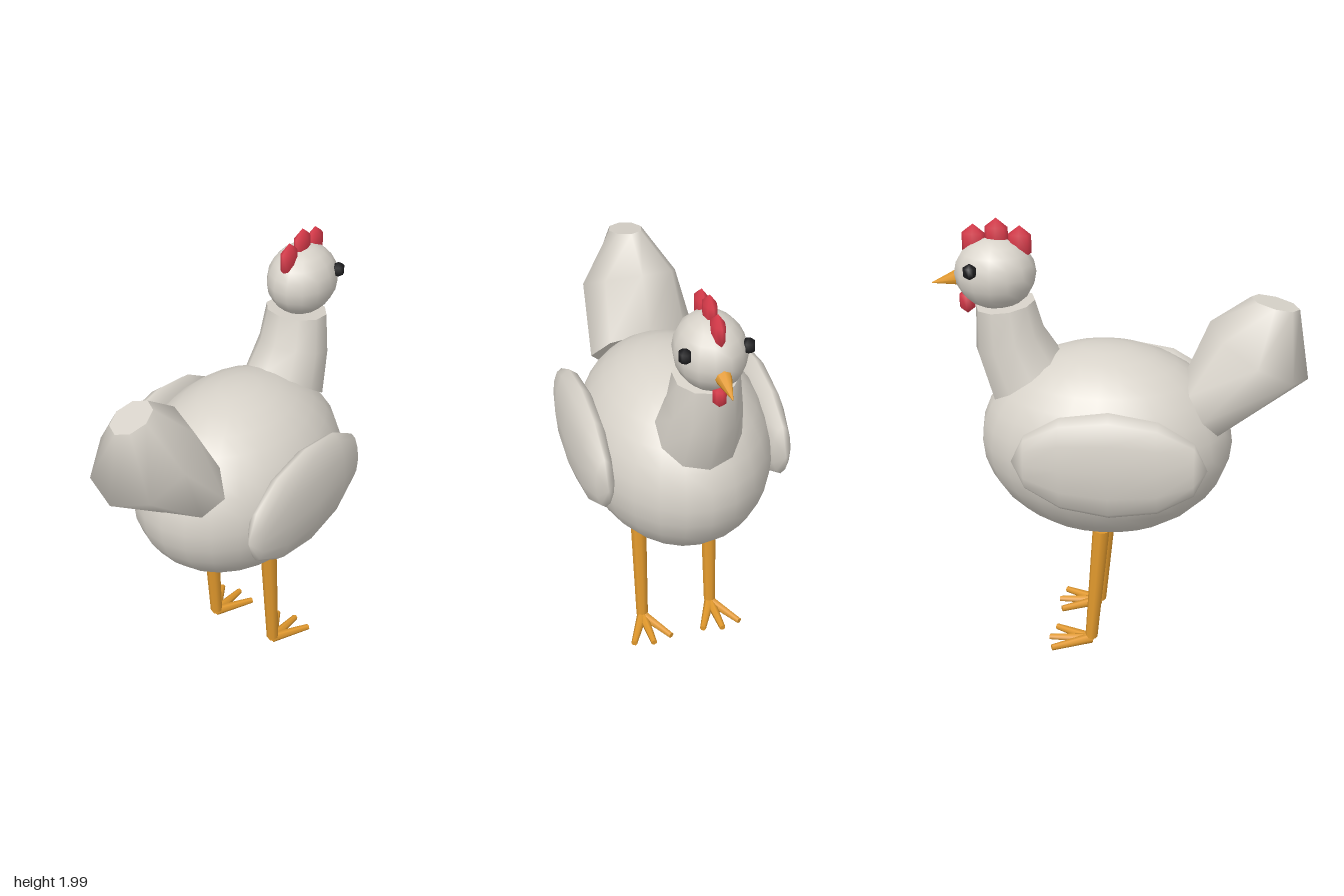
import * as THREE from 'three';

const mat = (name, color) => {
  const m = new THREE.MeshStandardMaterial({ color });
  m.name = name;
  return m;
};

// Smooth capped loft; each ring is [frontY, frontZ, backY, backZ, halfWidth]
function loft(rings, n) {
  const pos = [], idx = [];
  const addRing = ([fy, fz, by, bz, w]) => {
    const start = pos.length / 3;
    for (let i = 0; i < n; i++) {
      const a = (i / n) * Math.PI * 2, c = Math.cos(a) / 2;
      pos.push(-w * Math.sin(a), (fy + by) / 2 + c * (fy - by), (fz + bz) / 2 + c * (fz - bz));
    }
    return start;
  };
  const starts = rings.map(addRing);
  for (let k = 0; k + 1 < rings.length; k++) {
    for (let i = 0; i < n; i++) {
      const j = (i + 1) % n, a = starts[k], b = starts[k + 1];
      idx.push(a + i, a + j, b + j, a + i, b + j, b + i);
    }
  }
  // End caps have their own corners so that their edges stay sharp
  const low = addRing(rings[0]), high = addRing(rings[rings.length - 1]);
  for (let i = 1; i + 1 < n; i++) {
    idx.push(low, low + i + 1, low + i, high, high + i, high + i + 1);
  }
  const g = new THREE.BufferGeometry();
  g.setAttribute('position', new THREE.Float32BufferAttribute(pos, 3));
  g.setIndex(idx);
  g.computeVertexNormals();
  return g;
}

export function createModel() {
  const group = new THREE.Group();
  group.name = 'hen';
  const feather = mat('feather', 0xd8d3ca);
  const orange = mat('orange', 0xe39a2d);
  const red = mat('red', 0xd93a4a);
  const black = mat('black', 0x1c1c1e);

  const add = (name, geometry, material) => {
    const m = new THREE.Mesh(geometry, material);
    m.name = name;
    group.add(m);
    return m;
  };
  const ellipsoid = (name, material, center, radii, ws, hs) => {
    const g = new THREE.SphereGeometry(1, ws, hs).scale(...radii);
    const m = add(name, g, material);
    m.position.set(...center);
    return m;
  };
  // Tapered rod from point a to point b
  const rod = (name, material, a, b, ra, rb, sides = 8) => {
    const from = new THREE.Vector3(...a), to = new THREE.Vector3(...b);
    const dir = to.clone().sub(from);
    const m = add(name, new THREE.CylinderGeometry(rb, ra, dir.length(), sides), material);
    m.position.copy(from).add(to).multiplyScalar(0.5);
    m.quaternion.setFromUnitVectors(new THREE.Vector3(0, 1, 0), dir.normalize());
    return m;
  };

  // Body, neck, head and tail
  ellipsoid('body', feather, [0, 1, -0.06], [0.42, 0.44, 0.56], 24, 16);
  add('neck', loft([
    [1.18, -0.57, 1.4, -0.26, 0.185],
    [1.4, -0.635, 1.5, -0.33, 0.16],
    [1.6, -0.63, 1.635, -0.37, 0.14],
  ], 10), feather);
  ellipsoid('head', feather, [0, 1.755, -0.54], [0.15, 0.16, 0.178], 14, 10);
  add('tail', loft([
    [1.33, 0.29, 1.07, 0.47, 0.25],
    [1.57, 0.39, 1.32, 0.82, 0.22],
    [1.69, 0.56, 1.64, 0.77, 0.075],
  ], 8), feather);

  // Beak, comb and wattle
  rod('beak', orange, [0, 1.735, -0.67], [0, 1.695, -0.82], 0.046, 0.002);
  [[1.89, -0.43], [1.92, -0.53], [1.89, -0.63]].forEach(([y, z]) =>
    ellipsoid('comb', red, [0, y, z], [0.032, 0.08, 0.058], 8, 3));
  ellipsoid('wattle', red, [0, 1.62, -0.667], [0.034, 0.058, 0.04], 8, 3);

  for (const [side, s] of [['left', 1], ['right', -1]]) {
    ellipsoid(side + 'Eye', black, [s * 0.131, 1.8, -0.625], [0.03, 0.037, 0.033], 8, 3);

    // Wing with its poles at the front and back tips
    const wing = new THREE.SphereGeometry(1, 12, 6).rotateX(Math.PI / 2).scale(0.083, 0.25, 0.42);
    add(side + 'Wing', wing, feather).position.set(s * 0.397, 1.05, -0.005);

    // Leg and three spread toes
    const x = s * 0.168;
    rod(side + 'Leg', orange, [x, 0.04, -0.115], [x, 0.61, -0.067], 0.028, 0.038);
    for (const a of [-0.48, 0, 0.48]) {
      rod(side + 'Toe', orange, [x, 0.03, -0.115],
        [x + 0.195 * Math.sin(a), 0.022, -0.115 - 0.195 * Math.cos(a)], 0.024, 0.014, 6);
    }
  }
  return group;
}
